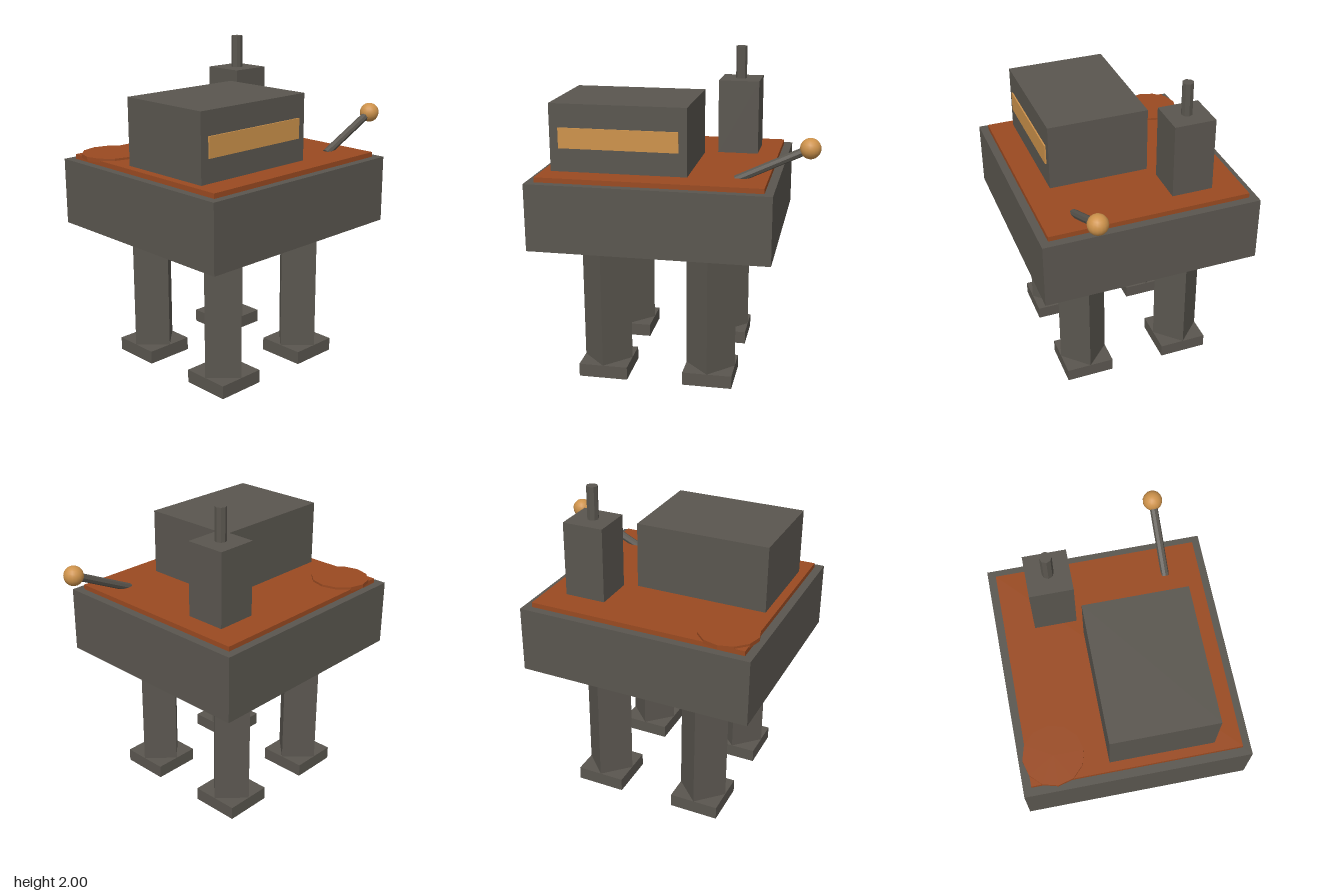
import * as THREE from 'three';

export function createModel() {
  const model = new THREE.Group();
  const iron = new THREE.MeshStandardMaterial({ name: 'dark iron', color: 0x5a564f });
  const rust = new THREE.MeshStandardMaterial({ name: 'rust orange', color: 0x9a4a21 });
  const brass = new THREE.MeshStandardMaterial({ name: 'brass', color: 0xcd924b });

  function add(name, geometry, material, x, y, z) {
    const mesh = new THREE.Mesh(geometry, material);
    mesh.name = name;
    mesh.position.set(x, y, z);
    model.add(mesh);
    return mesh;
  }
  // box given by its limits on each axis
  function box(name, material, [x0, x1], [y0, y1], [z0, z1]) {
    return add(name, new THREE.BoxGeometry(x1 - x0, y1 - y0, z1 - z0), material,
      (x0 + x1) / 2, (y0 + y1) / 2, (z0 + z1) / 2);
  }
  // faceted upright prism with hard edges
  function prism(radius, height, sides) {
    const g = new THREE.CylinderGeometry(radius, radius, height, sides).toNonIndexed();
    g.computeVertexNormals();
    return g;
  }

  // body and deck
  box('body', iron, [-0.85, 0.602], [0.89, 1.302], [-0.676, 0.676]);
  box('deckPlate', rust, [-0.8, 0.55], [1.302, 1.332], [-0.626, 0.626]);
  add('deckHatch', prism(0.181, 0.025, 12), rust, -0.645, 1.333, -0.47);

  // cabin with its front window
  box('cabin', iron, [-0.747, 0.081], [1.33, 1.742], [-0.157, 0.468]);
  box('cabinWindow', brass, [-0.693, 0.031], [1.475, 1.599], [0.468, 0.477]);

  // chimney
  box('chimney', iron, [0.163, 0.419], [1.33, 1.796], [-0.442, -0.185]);
  add('chimneyPipe', prism(0.035, 0.206, 8), iron, 0.29, 1.897, -0.313);

  // lever with a ball knob
  const base = new THREE.Vector3(0.36, 1.32, 0.412);
  const tip = new THREE.Vector3(0.785, 1.523, 0.412);
  const run = tip.clone().sub(base);
  const middle = base.clone().add(tip).multiplyScalar(0.5);
  const lever = add('lever', prism(0.025, run.length(), 8), iron, middle.x, middle.y, middle.z);
  lever.quaternion.setFromUnitVectors(new THREE.Vector3(0, 1, 0), run.normalize());
  add('leverKnob', new THREE.SphereGeometry(0.061, 16, 12), brass, tip.x, tip.y, tip.z);

  // four diamond-section legs on square feet
  for (const x of [-0.455, 0.206]) {
    for (const z of [-0.33, 0.33]) {
      add('leg', prism(0.154, 0.84, 4), iron, x, 0.48, z);
      add('foot', new THREE.BoxGeometry(0.308, 0.083, 0.308), iron, x, 0.0415, z);
    }
  }
  return model;
}
